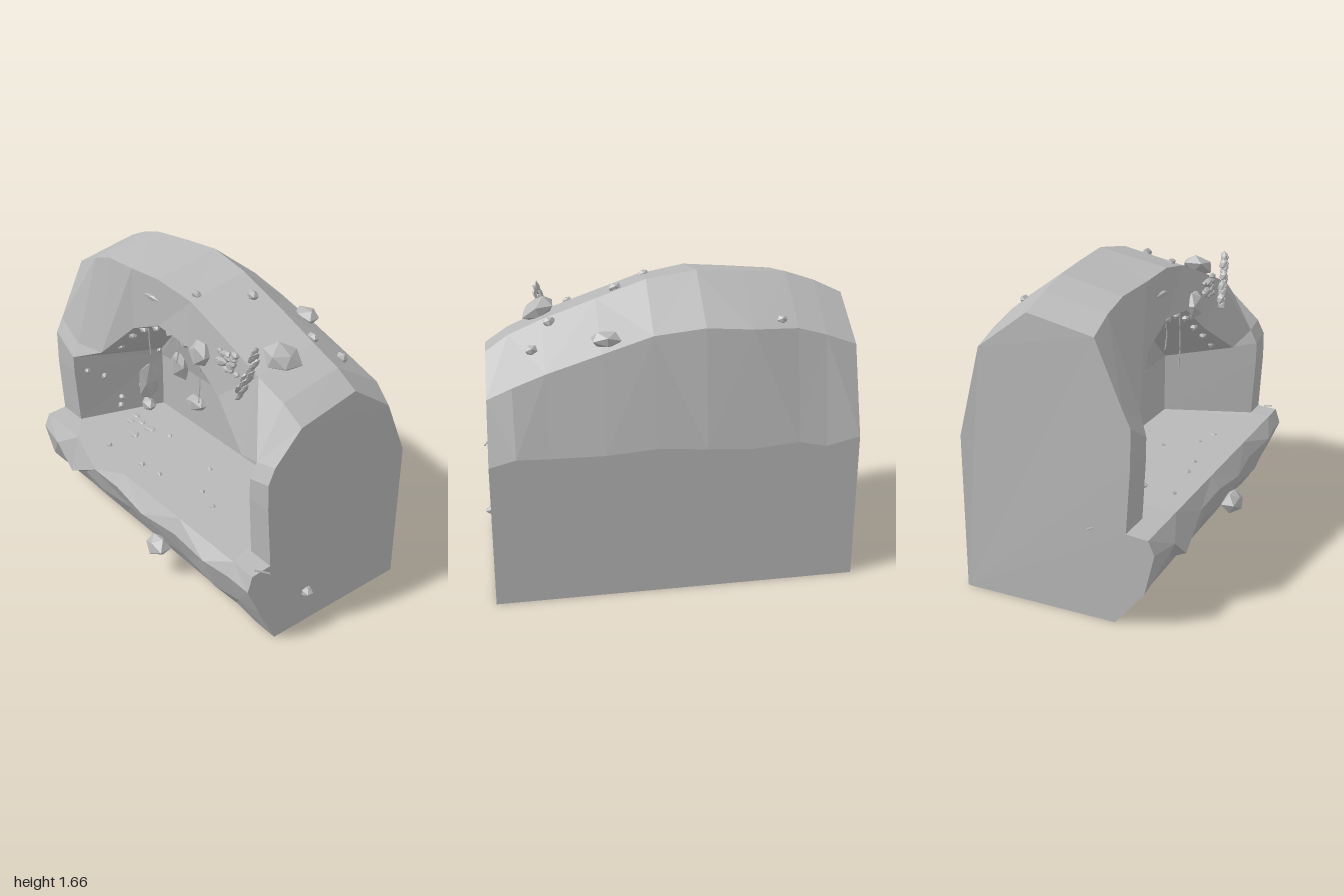
import * as THREE from 'three';

const rock = new THREE.MeshStandardMaterial({ color: 0xb8b8b8, flatShading: true });
rock.name = 'grey rock';

let seed = 7;
const rand = () => (seed = (seed * 16807) % 2147483647) / 2147483647;
const wobble = size => (rand() - 0.5) * 2 * size;

// Stations along x, with the heights of the crest and of the arch rim
const X = [-0.98, -0.79, -0.64, -0.4, -0.16, 0.1, 0.36, 0.64, 0.81, 0.96];
const CREST = [1.5, 1.57, 1.62, 1.64, 1.66, 1.62, 1.53, 1.43, 1.36, 1.28];
const RIM = [1.1, 1.0, 0.98, 1.21, 1.32, 1.3, 1.13, 0.95, 1.02, 1.05];
const LAST = X.length - 1;

// Section at one station as [z, y], from the front foot over the top to the back foot
function section(i) {
  const hollow = i > 1 && i < LAST - 1, crest = CREST[i], rim = RIM[i];
  const wall = hollow ? -0.16 : 0.37;
  const ceiling = hollow ? wall + (rim - 0.95) * 0.28 : wall;
  const notch = i === 2 ? 0.12 : 0; // scooped facet low on the left of the lip
  return [
    [0.3 + wobble(0.01), 0],
    [0.43 + wobble(0.02), 0.2 + wobble(0.025)],
    [0.51 + wobble(0.02), 0.4 - notch + wobble(0.02)],
    [0.465, 0.48],
    [hollow ? wall : 0.35, 0.49],
    [wall, 0.83],
    [ceiling, rim - (hollow ? 0.11 : 0.08)],
    [hollow ? 0.2 + Math.max(0, 1.15 - rim) * 0.4 : 0.33, rim],
    [0.18 + wobble(0.02), crest - 0.075],
    [-0.165 + wobble(0.02), crest],
    [-0.455 + wobble(0.03), crest * 0.87],
    [-0.56, 0.82 + wobble(0.03)],
    [-0.56, 0]
  ];
}

// Skin the sections and close both ends
function grottoGeometry() {
  const sections = X.map((x, i) => section(i)), n = sections[0].length, pos = [], index = [];
  sections.forEach((points, i) => points.forEach(([z, y]) => {
    const lean = i === 0 ? 0.018 : i === LAST ? -0.018 : 0; // ends taper inwards
    pos.push(X[i] + lean * y * y, y, z);
  }));
  for (let i = 0; i < LAST; i++) for (let j = 0; j < n; j++) {
    const k = (j + 1) % n, a = i * n + j, b = a + n, d = i * n + k, c = d + n;
    if ((i + j) % 2) index.push(a, b, c, a, c, d);
    else index.push(a, b, d, b, c, d);
  }
  for (const i of [0, LAST]) {
    const outline = sections[i].map(([z, y]) => new THREE.Vector2(-z, y));
    for (const [a, b, c] of THREE.ShapeUtils.triangulateShape(outline, [])) {
      const ccw = THREE.ShapeUtils.area([outline[a], outline[b], outline[c]]) > 0;
      const t = ccw === (i === LAST) ? [a, b, c] : [a, c, b];
      index.push(...t.map(v => v + i * n));
    }
  }
  const g = new THREE.BufferGeometry();
  g.setAttribute('position', new THREE.Float32BufferAttribute(pos, 3));
  g.setIndex(index);
  const flat = g.toNonIndexed();
  flat.computeVertexNormals();
  return flat;
}

// Irregular faceted stone: corners shared by faces move together
function stoneGeometry() {
  const g = new THREE.IcosahedronGeometry(1, 0), p = g.attributes.position, moved = {};
  for (let i = 0; i < p.count; i++) {
    const key = [p.getX(i), p.getY(i), p.getZ(i)].map(v => Math.round(v * 100)).join();
    const s = (moved[key] ??= 0.8 + 0.35 * rand());
    p.setXYZ(i, p.getX(i) * s, p.getY(i) * s, p.getZ(i) * s);
  }
  g.computeVertexNormals();
  return g;
}

export function createModel() {
  const model = new THREE.Group();
  const add = (name, geometry) => {
    const m = new THREE.Mesh(geometry, rock);
    m.name = name;
    model.add(m);
    return m;
  };
  const stone = (name, x, y, z, sx, sy = sx * 0.8, sz = sy, tilt = 0) => {
    const m = add(name, stoneGeometry());
    m.position.set(x, y, z);
    m.scale.set(sx, sy, sz);
    m.rotation.z = tilt;
  };

  add('grottoRock', grottoGeometry());

  // Larger stones set into the faces
  stone('lipStone', 0.17, 0.19, 0.47, 0.08);
  stone('sideStone', 0.96, 0.2, 0.1, 0.04);
  stone('upperWallStone', -0.44, 0.86, -0.15, 0.08, 0.1, 0.06);
  stone('lowerWallStone', -0.28, 0.66, -0.15, 0.09, 0.055);
  stone('tallCornerStone', -0.62, 0.7, -0.04, 0.035, 0.14, 0.07);
  stone('cornerStone', -0.6, 0.55, -0.02, 0.055);
  stone('archStone', 0.21, 1.31, 0.2, 0.075, 0.085, 0.05);
  stone('flatBrowStone', -0.22, 1.46, 0.17, 0.095, 0.025, 0.05);
  stone('roofStone', 0.65, 1.42, 0.04, 0.1, 0.06, 0.1, -0.35);
  stone('backRoofStone', 0.33, 1.39, -0.4, 0.08, 0.04, 0.06);

  // Pebbles on the roof
  for (const [x, y, z] of [[-0.56, 1.45, -0.41], [0.25, 1.56, -0.1], [0.07, 1.56, 0.12], [0.6, 1.43, -0.2], [0.7, 1.32, -0.31]])
    stone('roofPebble', x, y, z, 0.035);

  // Pebbles following the arch rim
  for (let i = 2; i < LAST - 2; i++) for (const t of [0.25, 0.75]) {
    const y = THREE.MathUtils.lerp(RIM[i], RIM[i + 1], t);
    stone('archPebble', THREE.MathUtils.lerp(X[i], X[i + 1], t), y - 0.02, 0.17, 0.03);
  }

  // Pebbles studding the left inner wall and the ledge
  for (let i = 0; i < 7; i++) {
    const t = rand();
    stone('wallPebble', -0.78 + 0.14 * t, 0.54 + 0.055 * i, 0.34 - 0.48 * t, 0.025);
    stone('ledgePebble', -0.45 + 0.14 * i, 0.48, 0.2 + wobble(0.18), 0.022);
  }

  // Chip clusters: on the brow, in a slanting seam and on the ledge
  for (let i = 0; i < 16; i++) {
    const t = i / 15;
    stone('browChip', 0.43 + wobble(0.07), 1.38 + wobble(0.08), 0.2, 0.02 + 0.012 * rand());
    stone('seamChip', 0.55 + 0.1 * t + wobble(0.025), 1.23 + 0.26 * t, 0.23 - 0.02 * t, 0.012, 0.034, 0.025, -0.4);
    if (i % 2) stone('ledgeChip', -0.5 + wobble(0.12), 0.487, 0.12 + wobble(0.1), 0.035, 0.01, 0.025);
  }

  // Thin roots hanging from the arch
  for (const [x, length] of [[-0.32, 0.19], [-0.06, 0.14], [0.13, 0.3]]) {
    const path = new THREE.CatmullRomCurve3([0, 0.5, 1].map(t =>
      new THREE.Vector3(x + wobble(0.012), 1.26 - length * t, 0.15)));
    add('hangingRoot', new THREE.TubeGeometry(path, 6, 0.004, 4));
  }

  // Twigs at both ends of the ledge
  for (const side of [-1, 1]) {
    const twig = add('twig', new THREE.CylinderGeometry(0.005, 0.005, 0.08, 5));
    twig.position.set(side * 0.965, 0.49, side > 0 ? 0.41 : 0.18);
    twig.rotation.set(1.2, 0, side * 0.6);
  }

  return model;
}
